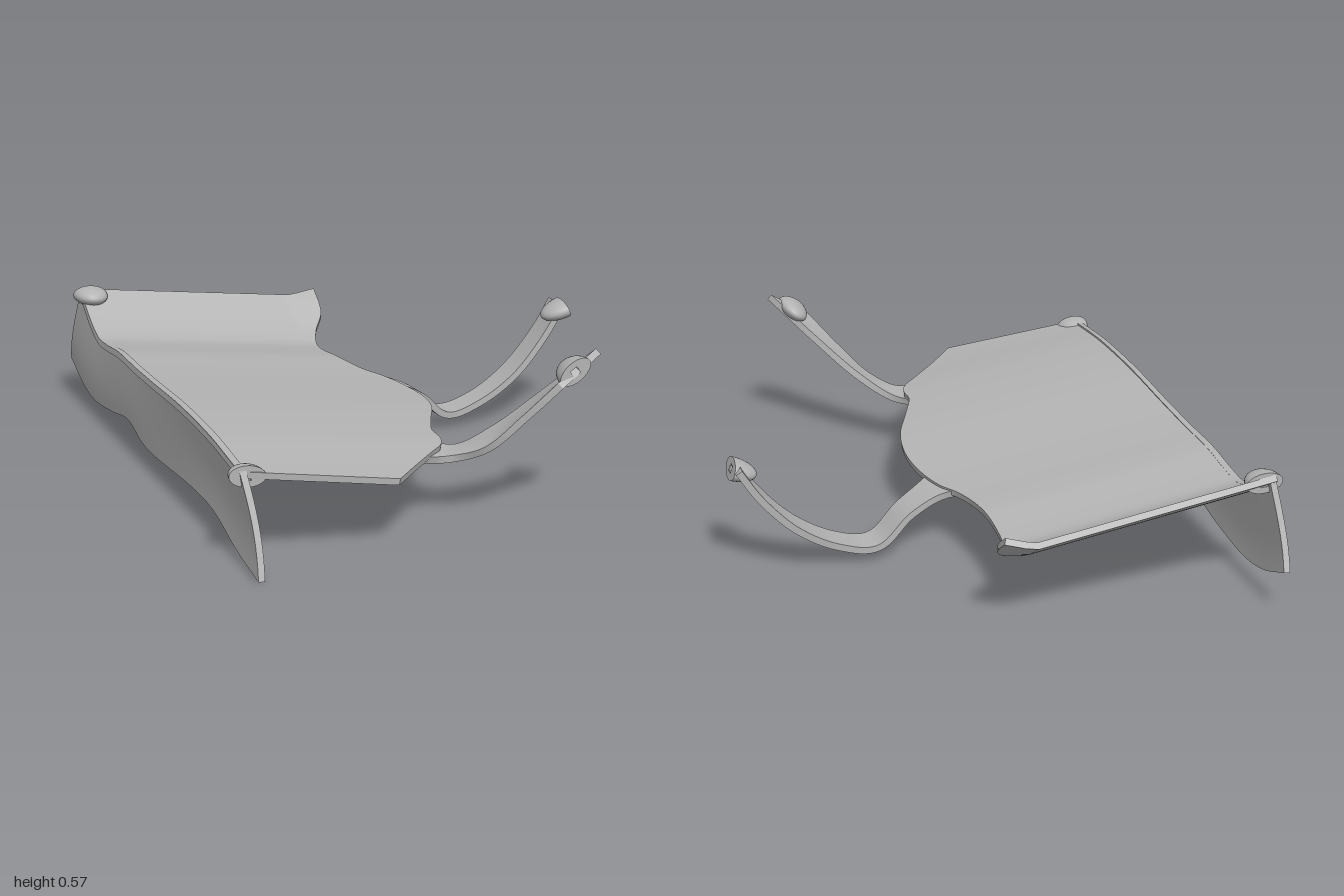
import * as THREE from 'three';
import { mergeGeometries } from 'three/addons/utils/BufferGeometryUtils.js';

const V = (x, y, z) => new THREE.Vector3(x, y, z);
const lerp = THREE.MathUtils.lerp;

// Smooth interpolation through [position, value] knots
function smooth(knots, x) {
  const n = knots.length;
  x = THREE.MathUtils.clamp(x, knots[0][0], knots[n - 1][0]);
  let i = 0;
  while (i < n - 2 && x > knots[i + 1][0]) i++;
  const slope = (k) => {
    const a = knots[Math.max(k - 1, 0)], b = knots[Math.min(k + 1, n - 1)];
    return (b[1] - a[1]) / (b[0] - a[0]);
  };
  const [x0, y0] = knots[i], [x1, y1] = knots[i + 1];
  const h = x1 - x0, t = (x - x0) / h, t2 = t * t, t3 = t2 * t;
  return (2 * t3 - 3 * t2 + 1) * y0 + (t3 - 2 * t2 + t) * h * slope(i)
    + (3 * t2 - 2 * t3) * y1 + (t3 - t2) * h * slope(i + 1);
}

// Solid sheet: fn(u, v) is the outer face, thickened inward, with sharp rims
function sheet(fn, nu, nv, thick) {
  const outer = [], inner = [], e = 1e-3;
  for (let i = 0; i <= nu; i++) {
    outer.push([]); inner.push([]);
    for (let j = 0; j <= nv; j++) {
      const u = i / nu, v = j / nv, p = fn(u, v);
      const du = fn(Math.min(u + e, 1), v).sub(fn(Math.max(u - e, 0), v));
      const dv = fn(u, Math.min(v + e, 1)).sub(fn(u, Math.max(v - e, 0)));
      outer[i].push(p);
      inner[i].push(p.clone().addScaledVector(du.cross(dv).normalize(), -thick));
    }
  }
  const grid = (rows, flip) => {
    const g = new THREE.BufferGeometry(), idx = [], w = rows[0].length;
    g.setFromPoints(rows.flat());
    for (let i = 0; i < rows.length - 1; i++) for (let j = 0; j < w - 1; j++) {
      const a = i * w + j, b = a + w, c = b + 1, d = a + 1;
      idx.push(...(flip ? [a, c, b, a, d, c] : [a, b, c, a, c, d]));
    }
    g.setIndex(idx);
    g.computeVertexNormals();
    return g;
  };
  const col = (rows, j) => rows.map((r) => r[j]);
  return mergeGeometries([
    grid(outer, false), grid(inner, true),
    grid([outer[0], inner[0]], true), grid([outer[nu], inner[nu]], false),
    grid([col(outer, 0), col(inner, 0)], false), grid([col(outer, nv), col(inner, nv)], true),
  ]);
}

// Wavy height along the deck, its right-hand outline and the skirt's lower edge
const wave = [[-0.93, 0.335], [-0.8, 0.25], [-0.7, 0.212], [-0.6, 0.214], [-0.45, 0.23],
  [-0.25, 0.232], [-0.05, 0.238], [0.25, 0.25], [0.55, 0.245], [0.8, 0.222], [0.95, 0.212]];
const rightEdge = [[-0.93, 0.09], [-0.84, 0.09], [-0.77, 0.05], [-0.68, 0.025], [-0.55, 0.02],
  [-0.42, 0.035], [-0.3, 0.07], [-0.22, 0.115], [-0.1, 0.15], [0.05, 0.165], [0.2, 0.145],
  [0.35, 0.09], [0.48, 0.045], [0.56, 0.045], [0.62, 0.025], [0.68, -0.025], [0.8, -0.125], [0.923, -0.22]];
const skirtHem = [[-1, 0.15], [-0.85, 0.09], [-0.7, 0.07], [-0.5, 0.09], [-0.3, 0.12], [-0.15, 0.085],
  [0, 0.08], [0.4, 0.1], [0.6, 0.09], [0.8, 0.035], [1, 0]];

const leftX = (z) => -0.775 + 0.05 * z;

function deckY(x, z) {
  const t = z + 0.06 * x;
  const lip = Math.max(x, 0) * 0.55 * THREE.MathUtils.smoothstep(-t, 0.6, 0.9);
  return smooth(wave, t) - 0.136 * x + lip;
}

function deckPoint(u, v) {
  const zr = -0.93 + 1.853 * u;
  const x = lerp(leftX(zr), smooth(rightEdge, zr), v);
  const back = -0.93 + (x > 0 ? 0.2 : -0.06) * x, front = 0.923 + 0.059 * x;
  const z = lerp(back, front, u);
  return V(x, deckY(x, z), z);
}

function skirtPoint(u, v) {
  const z = lerp(-0.88 - 0.12 * u, 0.88 + 0.12 * u, v);
  const top = deckY(leftX(z), lerp(-0.88, 0.88, v));
  const x = leftX(z) + 0.02 * z * Math.sin(u * Math.PI * 0.75);
  return V(x, lerp(top, smooth(skirtHem, z), u), z);
}

// Ribbon arm between two edge curves
function armGeometry(edgeA, edgeB) {
  const a = new THREE.CatmullRomCurve3(edgeA.map((p) => V(...p)));
  const b = new THREE.CatmullRomCurve3(edgeB.map((p) => V(...p)));
  return sheet((u, v) => a.getPoint(u).lerp(b.getPoint(u), v), 48, 6, 0.024);
}

// Half-ellipsoid socket: dome toward +z, flat face with a square hole
function socketGeometry(rx, ry, rz) {
  const dome = new THREE.SphereGeometry(1, 24, 16, 0, Math.PI).scale(rx, ry, rz);
  const shape = new THREE.Shape().absellipse(0, 0, rx, ry, 0, Math.PI * 2);
  const h = 0.013;
  shape.holes.push(new THREE.Path([[-h, -h], [-h, h], [h, h], [h, -h]].map((p) => new THREE.Vector2(...p))));
  const face = new THREE.ShapeGeometry(shape, 24).rotateY(Math.PI);
  // Recess walls and floor
  const recess = new THREE.BoxGeometry(2 * h, 2 * h, 0.025).translate(0, 0, 0.0135);
  recess.setIndex(Array.from(recess.index.array).slice(0, 30));
  return mergeGeometries([dome, face, recess]);
}

export function createModel() {
  const model = new THREE.Group();
  const grey = new THREE.MeshStandardMaterial({ color: 0xb4b4b4, side: THREE.DoubleSide });
  grey.name = 'plain grey';
  const add = (name, geometry) => {
    const mesh = new THREE.Mesh(geometry, grey);
    mesh.name = name;
    model.add(mesh);
    return mesh;
  };

  // Main curved deck and the hanging side skirt
  add('deck', sheet(deckPoint, 110, 28, 0.022));
  add('sideSkirt', sheet(skirtPoint, 10, 80, 0.022));

  // Dipping arm at the back
  add('backArm', armGeometry(
    [[0.08, 0.218, -0.04], [0.16, 0.2, -0.12], [0.26, 0.145, -0.155], [0.36, 0.06, -0.175],
      [0.48, 0.085, -0.19], [0.62, 0.17, -0.2], [0.74, 0.3, -0.215], [0.81, 0.41, -0.22]],
    [[-0.02, 0.226, -0.33], [0.1, 0.21, -0.25], [0.23, 0.155, -0.262], [0.35, 0.06, -0.285],
      [0.48, 0.085, -0.295], [0.62, 0.17, -0.31], [0.74, 0.3, -0.32], [0.81, 0.41, -0.325]]));

  // Rising arm at the front
  add('frontArm', armGeometry(
    [[-0.1, 0.24, 0.72], [0.03, 0.213, 0.675], [0.13, 0.25, 0.735], [0.24, 0.36, 0.785], [0.34, 0.475, 0.835]],
    [[0, 0.228, 0.48], [0.08, 0.218, 0.585], [0.19, 0.29, 0.65], [0.33, 0.42, 0.725], [0.48, 0.57, 0.81]]));

  // Sockets: name, radii, position, yaw, roll
  const sockets = [
    ['frontDeckSocket', [0.06, 0.035, 0.075], [-0.705, 0.3, 0.88], Math.PI, 0.1],
    ['backDeckSocket', [0.063, 0.035, 0.085], [-0.785, 0.42, -0.88], 0, -0.08],
    ['frontArmSocket', [0.06, 0.034, 0.1], [0.4, 0.505, 0.835], Math.PI, -0.65],
    ['backArmSocket', [0.065, 0.035, 0.09], [0.835, 0.39, -0.25], -Math.PI / 2, 0],
  ];
  for (const [name, radii, position, yaw, roll] of sockets) {
    const socket = add(name, socketGeometry(...radii));
    socket.position.set(...position);
    socket.rotation.set(name === 'backArmSocket' ? 0.35 : 0, yaw, roll, 'YXZ');
  }
  return model;
}
